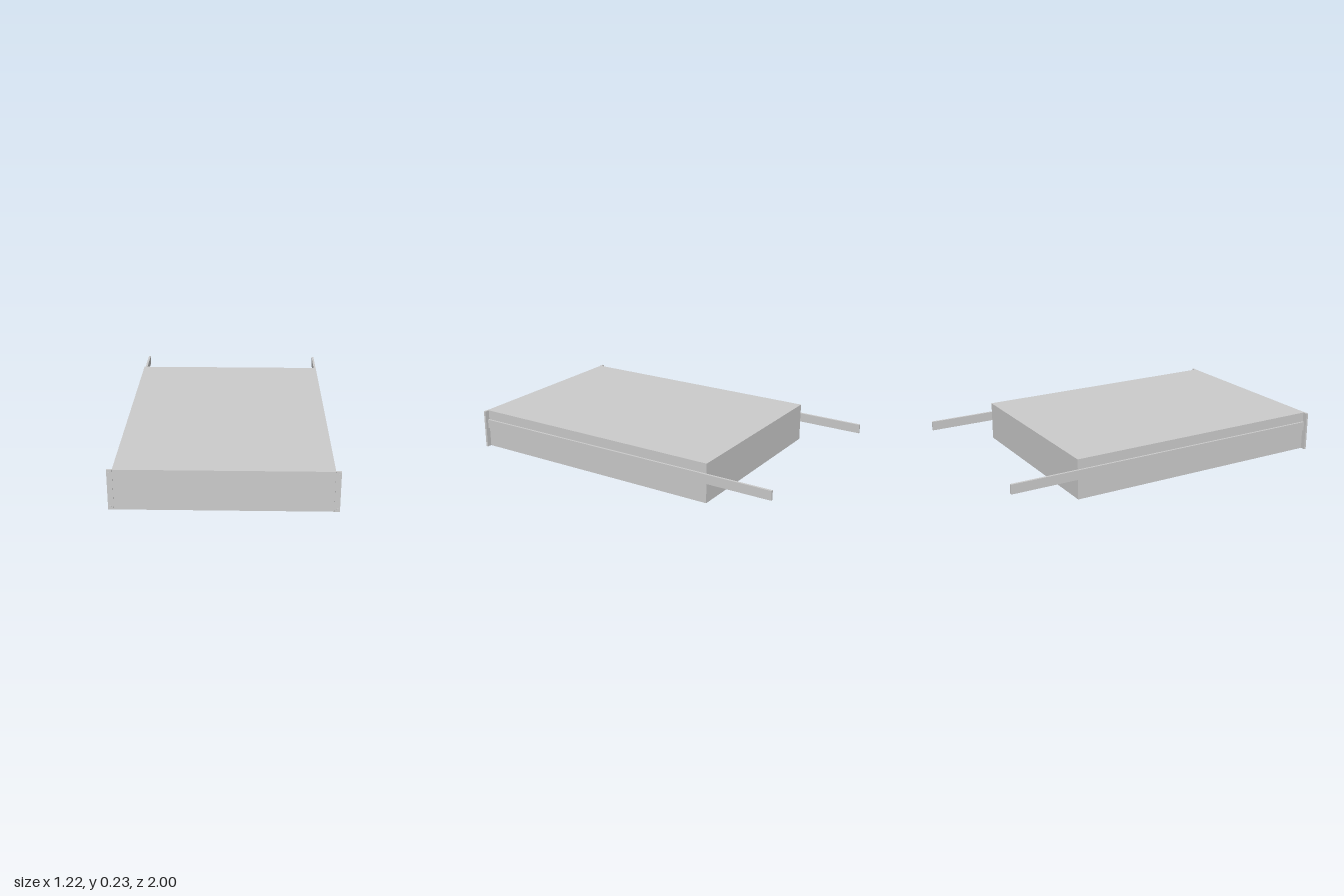
import * as THREE from 'three';

export function createModel() {
  const group = new THREE.Group();
  const material = new THREE.MeshStandardMaterial({ color: 0xcccccc, flatShading: true });

  // Box given by its lower and upper corners
  function box(name, min, max) {
    const size = max.map((v, i) => v - min[i]);
    const mesh = new THREE.Mesh(new THREE.BoxGeometry(...size), material);
    mesh.position.set(...max.map((v, i) => (v + min[i]) / 2));
    mesh.name = name;
    group.add(mesh);
  }

  const height = 0.233;
  box('chassis', [-0.582, 0, -0.603], [0.582, height, 0.993]);

  const screwGeometry = new THREE.CylinderGeometry(0.006, 0.006, 0.006, 16).rotateX(Math.PI / 2);

  for (const side of [-1, 1]) {
    const label = side > 0 ? 'left' : 'right';
    const span = (a, b) => [Math.min(side * a, side * b), Math.max(side * a, side * b)];

    // Slide rail running past the back of the chassis
    const [r0, r1] = span(0.581, 0.594);
    box(label + 'Rail', [r0, 0.12, -1], [r1, 0.175, 0.985]);

    // Mounting ear at the front corner
    const [e0, e1] = span(0.581, 0.611);
    box(label + 'Ear', [e0, 0, 0.983], [e1, height, 0.996]);

    // Fixing screws near the ear's ends
    for (const y of [0.018, height - 0.018]) {
      const screw = new THREE.Mesh(screwGeometry, material);
      screw.position.set(side * 0.599, y, 0.997);
      screw.name = label + 'Screw';
      group.add(screw);
    }
  }
  return group;
}
